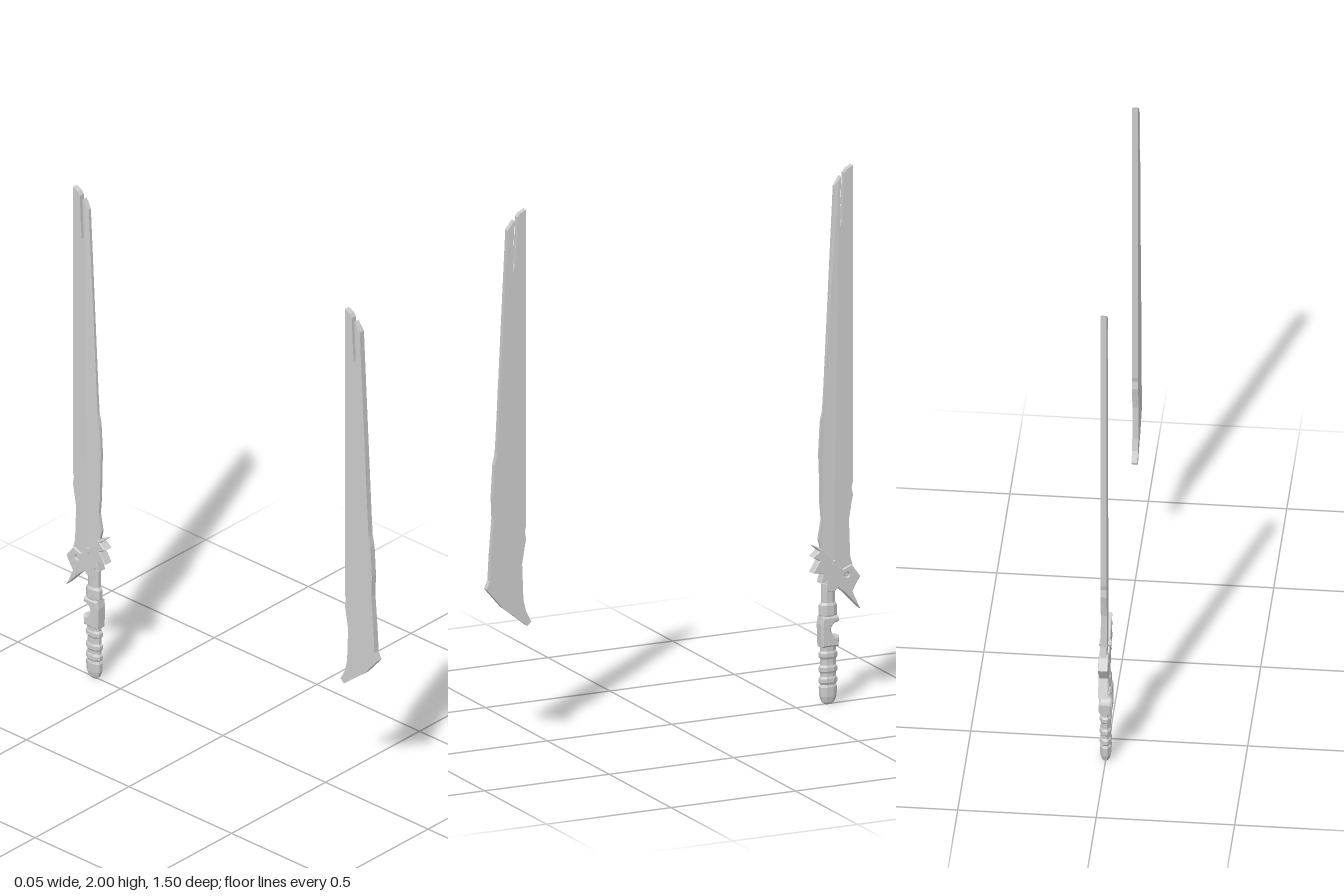
import * as THREE from 'three';

const material = new THREE.MeshStandardMaterial({ color: 0xcccccc, flatShading: true });

// Side profiles are [u, y] with u = -z.
function makeShape(points) {
  return new THREE.Shape(points.map(([u, y]) => new THREE.Vector2(u, y)));
}

// Extrudes a side profile across x, from x0 to x1, with an optional chamfer.
function slab(shape, x0, x1, bevel = 0) {
  const geo = new THREE.ExtrudeGeometry(shape, {
    depth: x1 - x0 - 2 * bevel, curveSegments: 8, bevelEnabled: bevel > 0,
    bevelThickness: bevel, bevelSize: bevel, bevelOffset: -bevel, bevelSegments: 1,
  });
  geo.translate(0, 0, x0 + bevel);
  geo.rotateY(Math.PI / 2);
  return geo;
}

function add(parent, name, geo) {
  const mesh = new THREE.Mesh(geo, material);
  mesh.name = name;
  parent.add(mesh);
  return mesh;
}

// Blade outline measured from its straight back edge (u = 0).
const slotAndTip = [
  [-0.051, 1.86], [-0.053, 1.77], [-0.043, 1.80], [-0.038, 1.88],
  [-0.034, 1.975], [-0.024, 1.988], [0, 2],
];
const backEdge = [
  [0, 0.82], [-0.005, 0.80], [0, 0.77], [-0.005, 0.745], [-0.016, 0.68],
  [-0.011, 0.545], [0, 0.50], [0.021, 0.46], [0.005, 0.445],
];
const frontEdge = [
  [-0.073, 1.93], [-0.111, 1.18], [-0.116, 1.10], [-0.125, 1.06], [-0.132, 0.94], [-0.129, 0.86],
];
const ridgeTop = [-0.057, 1.95], ridgeBottom = [-0.075, 0.51];
const prongTop = [-0.047, 1.965];

function ridgeAt(y) {
  const t = (y - ridgeBottom[1]) / (ridgeTop[1] - ridgeBottom[1]);
  return ridgeBottom[0] + t * (ridgeTop[0] - ridgeBottom[0]);
}

function createSword() {
  const sword = new THREE.Group();
  sword.name = 'sword';
  const backU = 0.722;

  // Blade: thick back half plus a front half thinned towards its edge
  const blade = new THREE.Group();
  blade.name = 'blade';
  blade.position.z = -backU;
  sword.add(blade);
  const back = [ridgeBottom, ridgeTop, prongTop, ...slotAndTip, ...backEdge];
  add(blade, 'bladeBack', slab(makeShape(back), -0.011, 0.011));

  const front = [ridgeTop, ...frontEdge, [-0.128, 0.76], [-0.122, 0.69], [-0.135, 0.62],
    [-0.12, 0.56], ridgeBottom];
  const edgeGeo = slab(makeShape(front), -0.011, 0.011);
  const p = edgeGeo.attributes.position;
  for (let i = 0; i < p.count; i++) {
    if (-p.getZ(i) < ridgeAt(p.getY(i)) - 0.004) p.setX(i, p.getX(i) * 0.5);
  }
  edgeGeo.computeVertexNormals();
  add(blade, 'bladeFront', edgeGeo);

  // Guard: jagged diagonal crosspiece with a pierced rear wing
  const guard = makeShape([
    [0.563, 0.598], [0.585, 0.577], [0.558, 0.556], [0.585, 0.54], [0.558, 0.497],
    [0.60, 0.492], [0.59, 0.455], [0.616, 0.466], [0.611, 0.42], [0.645, 0.42],
    [0.66, 0.432], [0.69, 0.407], [0.749, 0.344], [0.717, 0.413], [0.749, 0.466],
    [0.714, 0.513], [0.68, 0.50], [0.648, 0.524], [0.60, 0.582],
  ]);
  guard.holes.push(new THREE.Path().absarc(0.696, 0.476, 0.009, 0, Math.PI * 2, true));
  add(sword, 'guard', slab(guard, -0.018, 0.018, 0.003));
  const boss = add(sword, 'guardBoss', new THREE.CylinderGeometry(0.014, 0.014, 0.042, 8));
  boss.rotation.z = Math.PI / 2;
  boss.position.set(0, 0.522, -0.648);

  // Handle: faceted neck, notched block, ringed grip and rounded pommel
  const handleU = 0.627;
  function facetedStack(name, profile) {
    const geo = new THREE.LatheGeometry(profile.map(([r, y]) => new THREE.Vector2(r, y)), 8);
    geo.rotateY(Math.PI / 8);
    geo.scale(0.65, 1, 1.05);
    add(sword, name, geo).position.z = -handleU;
  }
  facetedStack('neck', [
    [0, 0.45], [0.026, 0.45], [0.026, 0.38], [0.034, 0.37], [0.034, 0.335], [0.03, 0.325], [0, 0.325],
  ]);

  const block = new THREE.Shape();
  block.moveTo(handleU - 0.034, 0.215);
  block.lineTo(handleU + 0.034, 0.215);
  block.lineTo(handleU + 0.037, 0.255);
  block.absarc(handleU + 0.03, 0.28, 0.026, -Math.PI / 2, Math.PI / 2, true);
  block.lineTo(handleU + 0.037, 0.31);
  block.lineTo(handleU + 0.032, 0.33);
  block.lineTo(handleU - 0.032, 0.33);
  block.lineTo(handleU - 0.037, 0.30);
  add(sword, 'notchedBlock', slab(block, -0.024, 0.024, 0.007));

  const grip = [[0, 0.22], [0.03, 0.22]];
  for (const y of [0.2, 0.147, 0.105]) {
    grip.push([0.029, y], [0.035, y - 0.008], [0.035, y - 0.022], [0.029, y - 0.03]);
  }
  grip.push([0.034, 0.065], [0.032, 0.03], [0.024, 0.008], [0.014, 0], [0, 0]);
  facetedStack('gripAndPommel', grip);
  return sword;
}

// Separate matching blade: a flat plate with the same outline and a flared base
function createSecondBlade() {
  const outline = [
    prongTop, ...slotAndTip, ...backEdge, [-0.063, 0.50], [-0.095, 0.525],
    [-0.159, 0.60], [-0.145, 0.63], [-0.14, 0.72], ...[...frontEdge].reverse(),
  ];
  const geo = slab(makeShape(outline), -0.001, 0.021);
  const mesh = new THREE.Mesh(geo, material);
  mesh.name = 'secondBlade';
  mesh.position.z = 0.595;
  return mesh;
}

export function createModel() {
  const model = new THREE.Group();
  model.name = 'twinBladeSword';
  model.add(createSword(), createSecondBlade());
  // Lathe profiles run downwards, so both sides are shown
  material.side = THREE.DoubleSide;
  return model;
}
